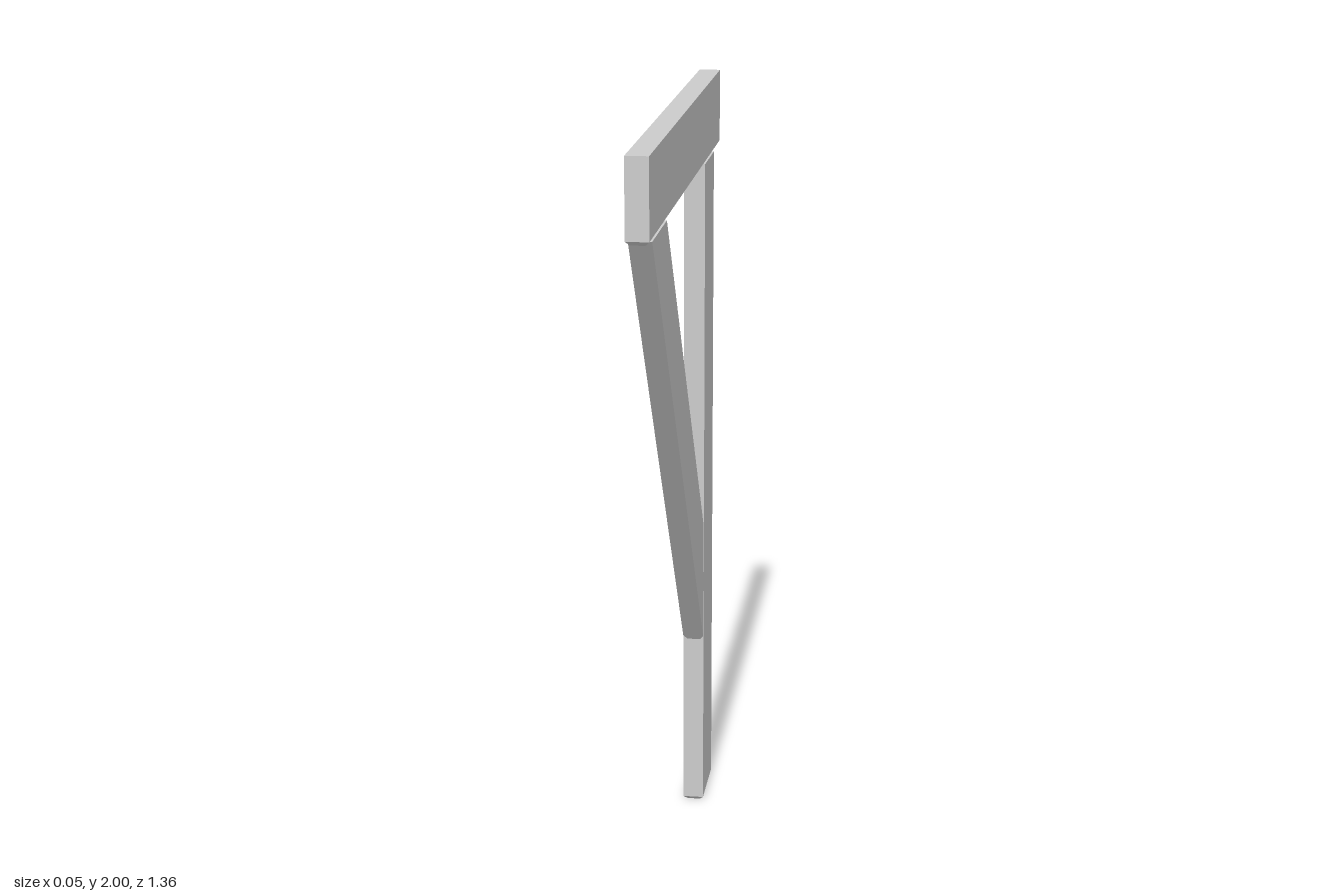
import * as THREE from 'three';

const THICK = 0.055, BEVEL = 0.01;

function part(name, geometry) {
  const material = new THREE.MeshStandardMaterial({ color: 0xcccccc, flatShading: true });
  geometry.computeVertexNormals();
  const mesh = new THREE.Mesh(geometry, material);
  mesh.name = name;
  return mesh;
}

// Upright timber whose lower edges are chamfered
function timber(name, y0, y1, z0, z1) {
  const depth = z1 - z0, height = y1 - y0;
  const geo = new THREE.BoxGeometry(THICK, height, depth, 1, 2, 1);
  const p = geo.attributes.position;
  for (let i = 0; i < p.count; i++) {
    const y = p.getY(i);
    if (Math.abs(y) < 1e-6) p.setY(i, -height / 2 + BEVEL);
    else if (y < 0) {
      p.setX(i, p.getX(i) - Math.sign(p.getX(i)) * BEVEL);
      p.setZ(i, p.getZ(i) - Math.sign(p.getZ(i)) * BEVEL);
    }
  }
  geo.translate(0, (y0 + y1) / 2, (z0 + z1) / 2);
  return part(name, geo);
}

// Sloping timber, cut level under the beam and plumb against the post
function brace() {
  const slope = 1.337, footZ = -0.35, topY = 1.802;
  const geo = new THREE.BoxGeometry(THICK, 1, 1, 1, 1, 2);
  const p = geo.attributes.position;
  for (let i = 0; i < p.count; i++) {
    const z = p.getZ(i);
    const footY = p.getY(i) > 0 ? 0.81 : 0.485;
    let newZ = footZ + BEVEL;
    if (z > 0.1) newZ = footZ + (topY - footY) / slope;
    else if (z < -0.1) {
      newZ = footZ;
      p.setX(i, p.getX(i) - Math.sign(p.getX(i)) * BEVEL);
    }
    p.setZ(i, newZ);
    p.setY(i, footY + (newZ - footZ) * slope);
  }
  return part('diagonalBrace', geo);
}

export function createModel() {
  const group = new THREE.Group();
  group.name = 'timberBracket';
  group.add(
    timber('topBeam', 1.8, 2, -0.68, 0.68),
    timber('post', 0, 1.802, -0.546, -0.35),
    brace(),
  );
  return group;
}
